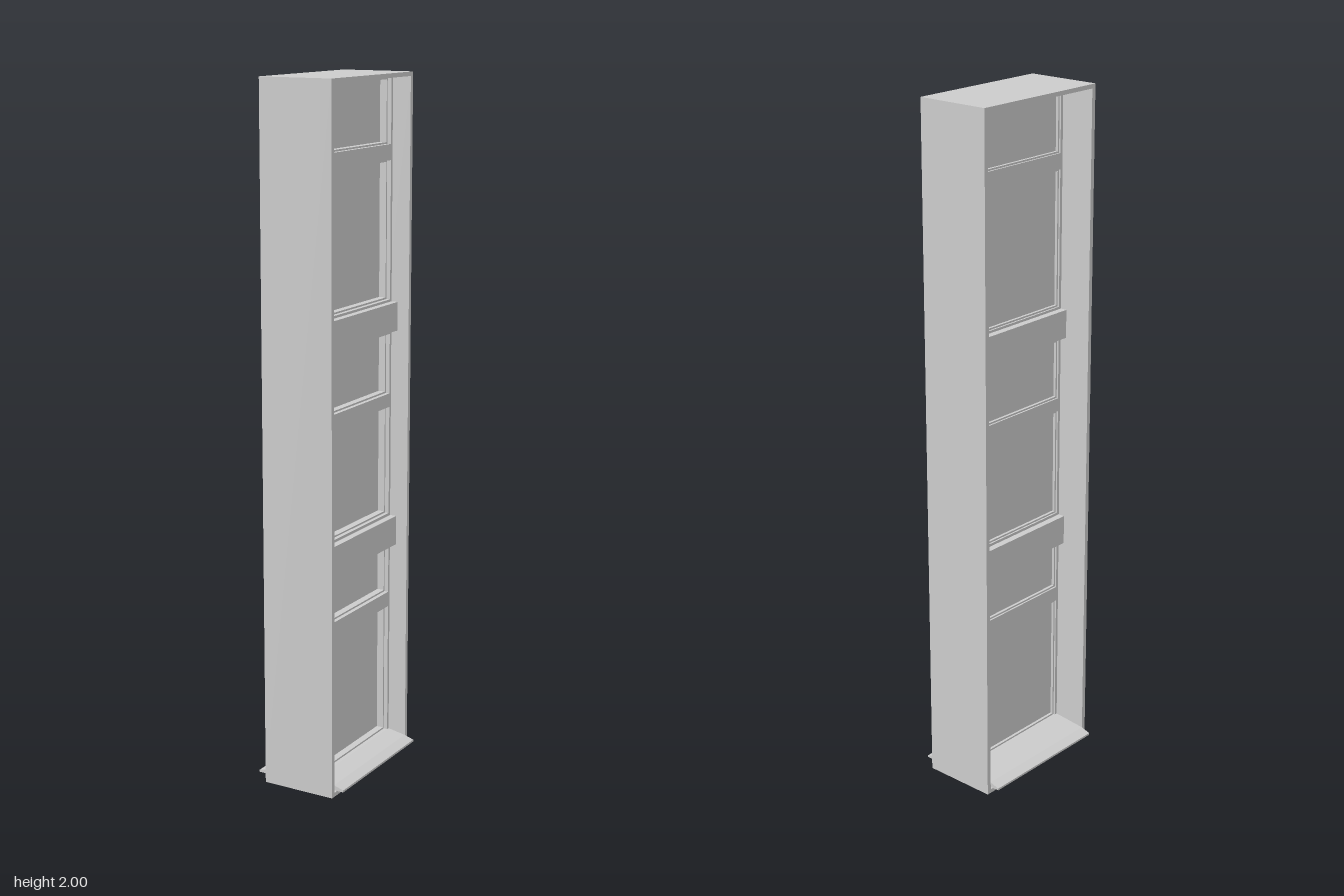
import * as THREE from 'three';

const grey = new THREE.MeshStandardMaterial({ color: 0xcccccc, flatShading: true });

// Box given by its min and max along each axis
function block(parent, name, x0, x1, y0, y1, z0, z1) {
  const mesh = new THREE.Mesh(new THREE.BoxGeometry(x1 - x0, y1 - y0, z1 - z0), grey);
  mesh.position.set((x0 + x1) / 2, (y0 + y1) / 2, (z0 + z1) / 2);
  mesh.name = name;
  parent.add(mesh);
}

// Flat outline in (z, y) with rectangular openings, given depth along x
function pierced(parent, name, x0, x1, outer, holes) {
  const trace = (path, [w, y0, y1]) => {
    path.moveTo(-w, y0);
    path.lineTo(w, y0);
    path.lineTo(w, y1);
    path.lineTo(-w, y1);
    path.closePath();
    return path;
  };
  const shape = trace(new THREE.Shape(), outer);
  shape.holes = holes.map((h) => trace(new THREE.Path(), h));
  const geo = new THREE.ExtrudeGeometry(shape, { depth: x1 - x0, bevelEnabled: false });
  geo.rotateY(Math.PI / 2).translate(x0, 0, 0);
  const mesh = new THREE.Mesh(geo, grey);
  mesh.name = name;
  parent.add(mesh);
}

export function createModel() {
  const model = new THREE.Group();
  model.name = 'tallWindow';
  const W = 0.222, IN = 0.209, D = 0.111;

  // Deep outer casing, open on both x sides
  pierced(model, 'casing', -D, D, [W, 0, 2], [[IN, 0.012, 1.988]]);

  // Three sashes, each with two panes: [bottom, top, panes]
  const sashes = [
    [0.035, 0.63, [[0.05, 0.432], [0.487, 0.62]]],
    [0.717, 1.27, [[0.73, 1.04], [1.09, 1.255]]],
    [1.353, 1.988, [[1.365, 1.75], [1.805, 1.978]]],
  ];
  for (const [y0, y1, panes] of sashes) {
    const sash = new THREE.Group();
    sash.name = 'sash';
    model.add(sash);
    const e = 0.005;
    pierced(sash, 'sashFrame', -0.01, 0.055, [IN, y0, y1],
      panes.map(([a, b]) => [0.2, a - e, b + e]));
    for (const [a, b] of panes) {
      pierced(sash, 'glazingBead', -0.005, 0.043, [0.2, a - e, b + e], [[0.195, a, b]]);
      block(sash, 'pane', 0.003, 0.022, a, b, -0.195, 0.195);
    }
  }

  // Projecting bands between the sashes
  for (const [y0, y1] of [[0.63, 0.717], [1.27, 1.353]]) {
    block(model, 'crossBand', -0.03, 0.075, y0, y1, -IN, IN);
  }

  // Sloped sill shedding to both sides
  const profile = [
    [-0.14, 0.02], [-0.11, 0.02], [-0.1, 0.012], [0.1, 0.012], [0.11, 0.02], [0.14, 0.02],
    [0.14, 0.026], [0.11, 0.035], [0.055, 0.045], [-0.01, 0.045], [-0.11, 0.035], [-0.14, 0.026],
  ].map(([x, y]) => new THREE.Vector2(x, y));
  const sillGeo = new THREE.ExtrudeGeometry(new THREE.Shape(profile), { depth: 2 * IN, bevelEnabled: false });
  const sill = new THREE.Mesh(sillGeo.translate(0, 0, -IN), grey);
  sill.name = 'sill';
  model.add(sill);

  return model;
}
